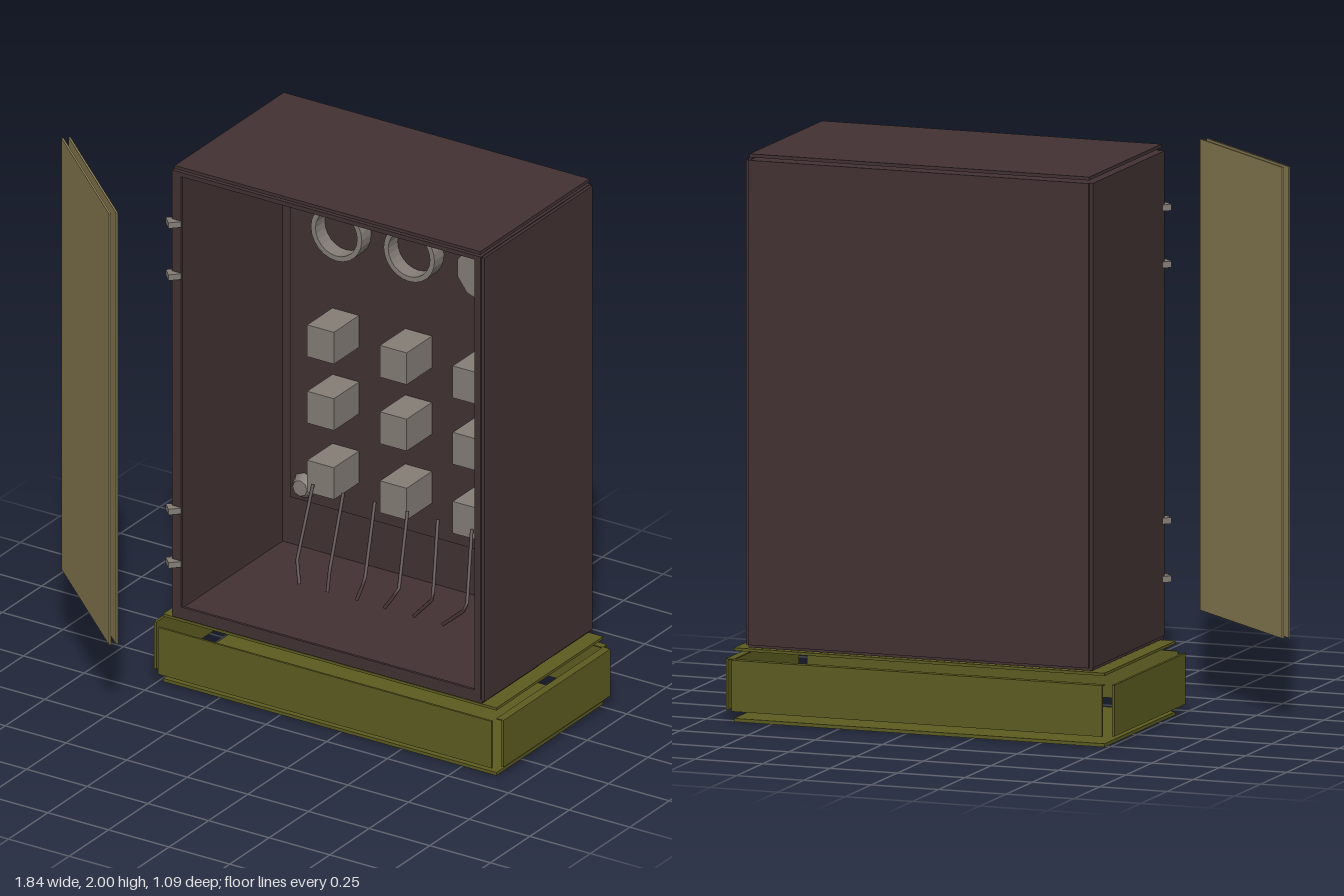
import * as THREE from 'three';

const material = (name, color) => {
  const m = new THREE.MeshStandardMaterial({ color });
  m.name = name;
  return m;
};

export function createModel() {
  const model = new THREE.Group();
  model.name = 'openControlCabinet';
  const brown = material('cabinetBrown', 0x423132);
  const olive = material('plinthOlive', 0x5c5b20);
  const tan = material('doorTan', 0x8c7e54);
  const grey = material('fittingGrey', 0x847d76);

  const group = (name) => {
    const g = new THREE.Group();
    g.name = name;
    model.add(g);
    return g;
  };
  const add = (parent, name, geometry, mat, x = 0, y = 0, z = 0) => {
    const mesh = new THREE.Mesh(geometry, mat);
    mesh.name = name;
    mesh.position.set(x, y, z);
    parent.add(mesh);
    return mesh;
  };
  // Box given by its limits on each axis
  const slab = (parent, name, mat, [x0, x1], [y0, y1], [z0, z1]) =>
    add(parent, name, new THREE.BoxGeometry(x1 - x0, y1 - y0, z1 - z0), mat,
      (x0 + x1) / 2, (y0 + y1) / 2, (z0 + z1) / 2);

  // Sheet metal shell, open at the front
  const shell = group('cabinetShell');
  const wallY = [0.275, 1.978], depth = [-0.52, 0.165];
  slab(shell, 'topPanel', brown, [-0.43, 0.83], [1.988, 2], [-0.525, 0.168]);
  slab(shell, 'topInnerFlange', brown, [-0.43, 0.83], [1.97, 1.978], depth);
  slab(shell, 'bottomPanel', brown, [-0.44, 0.835], [0.265, 0.28], depth);
  slab(shell, 'rightWall', brown, [-0.442, -0.43], wallY, depth);
  slab(shell, 'leftWall', brown, [0.833, 0.845], wallY, depth);
  slab(shell, 'backPanel', brown, [-0.43, 0.833], wallY, [-0.53, -0.518]);

  // Narrow lips around the opening
  const lipZ = [0.155, 0.165];
  slab(shell, 'rightLip', brown, [-0.43, -0.405], wallY, lipZ);
  slab(shell, 'leftLip', brown, [0.805, 0.83], wallY, lipZ);
  slab(shell, 'bottomLip', brown, [-0.405, 0.805], [0.28, 0.31], lipZ);
  slab(shell, 'topLip', brown, [-0.405, 0.805], [1.962, 1.978], lipZ);

  // Plinth of separate panels with gaps at the edges
  const plinth = group('plinth');
  const plinthX = [-0.485, 0.89], plinthY = [0.04, 0.22], plinthZ = [-0.52, 0.158];
  slab(plinth, 'plinthTop', olive, plinthX, [0.25, 0.26], plinthZ);
  slab(plinth, 'plinthBottom', olive, plinthX, [0, 0.012], plinthZ);
  slab(plinth, 'plinthFront', olive, plinthX, plinthY, [0.18, 0.188]);
  slab(plinth, 'plinthBack', olive, plinthX, plinthY, [-0.543, -0.535]);
  slab(plinth, 'plinthRight', olive, [-0.522, -0.512], plinthY, plinthZ);
  slab(plinth, 'plinthLeft', olive, [0.912, 0.92], plinthY, plinthZ);
  slab(plinth, 'plinthLeftFlange', olive, [0.89, 0.912], [0.216, 0.22], plinthZ);
  slab(plinth, 'plinthBackFlange', olive, plinthX, [0.216, 0.22], [-0.535, -0.515]);

  // Detached door: two thin sheets, swung open
  const door = group('door');
  door.position.set(-0.678, 1.132, 0.325);
  door.rotation.y = -0.7286;
  for (const [name, z] of [['doorOuterSheet', 0.0125], ['doorInnerSheet', -0.0125]]) {
    add(door, name, new THREE.BoxGeometry(0.625, 1.655, 0.007), tan, 0, 0, z);
  }

  // Hinge blocks
  const hinges = group('hinges');
  for (const y of [0.475, 0.68, 1.58, 1.78]) {
    add(hinges, 'hinge', new THREE.BoxGeometry(0.045, 0.022, 0.045), grey,
      -0.435, y, 0.168).rotation.y = Math.PI / 4;
  }

  // Mounting plate with its corner bolts
  const plate = group('mountingPlate');
  const face = -0.41;
  slab(plate, 'plate', brown, [-0.33, 0.73], [0.52, 1.9], [face - 0.012, face]);
  for (const x of [-0.27, 0.67]) {
    for (const y of [0.58, 1.84]) {
      const sides = y > 1 ? 4 : 8;
      const bolt = new THREE.CylinderGeometry(0.03, 0.048, 0.03, sides).rotateX(Math.PI / 2);
      const mesh = add(plate, 'cornerBolt', bolt, grey, x, y, face + 0.015);
      mesh.material = grey;
    }
  }

  // Two hollow collars and one solid dial
  const dials = group('dials');
  const collar = new THREE.Shape().absarc(0, 0, 0.105, 0, Math.PI * 2);
  collar.holes.push(new THREE.Path().absarc(0, 0, 0.086, 0, Math.PI * 2, true));
  const collarGeometry = new THREE.ExtrudeGeometry(collar,
    { depth: 0.06, bevelEnabled: false, curveSegments: 12 });
  for (const x of [-0.1, 0.2]) add(dials, 'collar', collarGeometry, grey, x, 1.615, face);
  add(dials, 'dial', new THREE.CylinderGeometry(0.105, 0.105, 0.06, 10).rotateX(Math.PI / 2),
    grey, 0.5, 1.615, face + 0.03);

  // Grid of relay blocks
  const relays = group('relays');
  for (const x of [-0.1, 0.2, 0.5]) {
    for (const y of [0.71, 0.975, 1.23]) {
      add(relays, 'relay', new THREE.BoxGeometry(0.11, 0.122, 0.16), grey, x, y, face + 0.08);
    }
  }

  // Bent wires hanging from the lowest row: x at the top, bend and end
  const wires = group('wires');
  const bends = [
    [-0.125, -0.1, -0.07], [0, 0.035, 0.045], [0.13, 0.18, 0.165],
    [0.265, 0.32, 0.28], [0.39, 0.46, 0.4], [0.53, 0.6, 0.52],
  ];
  for (const [top, bend, end] of bends) {
    const path = new THREE.CurvePath();
    const a = new THREE.Vector3(top, 0.69, -0.24);
    const b = new THREE.Vector3(bend, 0.46, -0.1);
    const c = new THREE.Vector3(end, 0.39, -0.07);
    path.add(new THREE.LineCurve3(a, b));
    path.add(new THREE.LineCurve3(b, c));
    add(wires, 'wire', new THREE.TubeGeometry(path, 12, 0.007, 6), brown);
  }

  return model;
}
